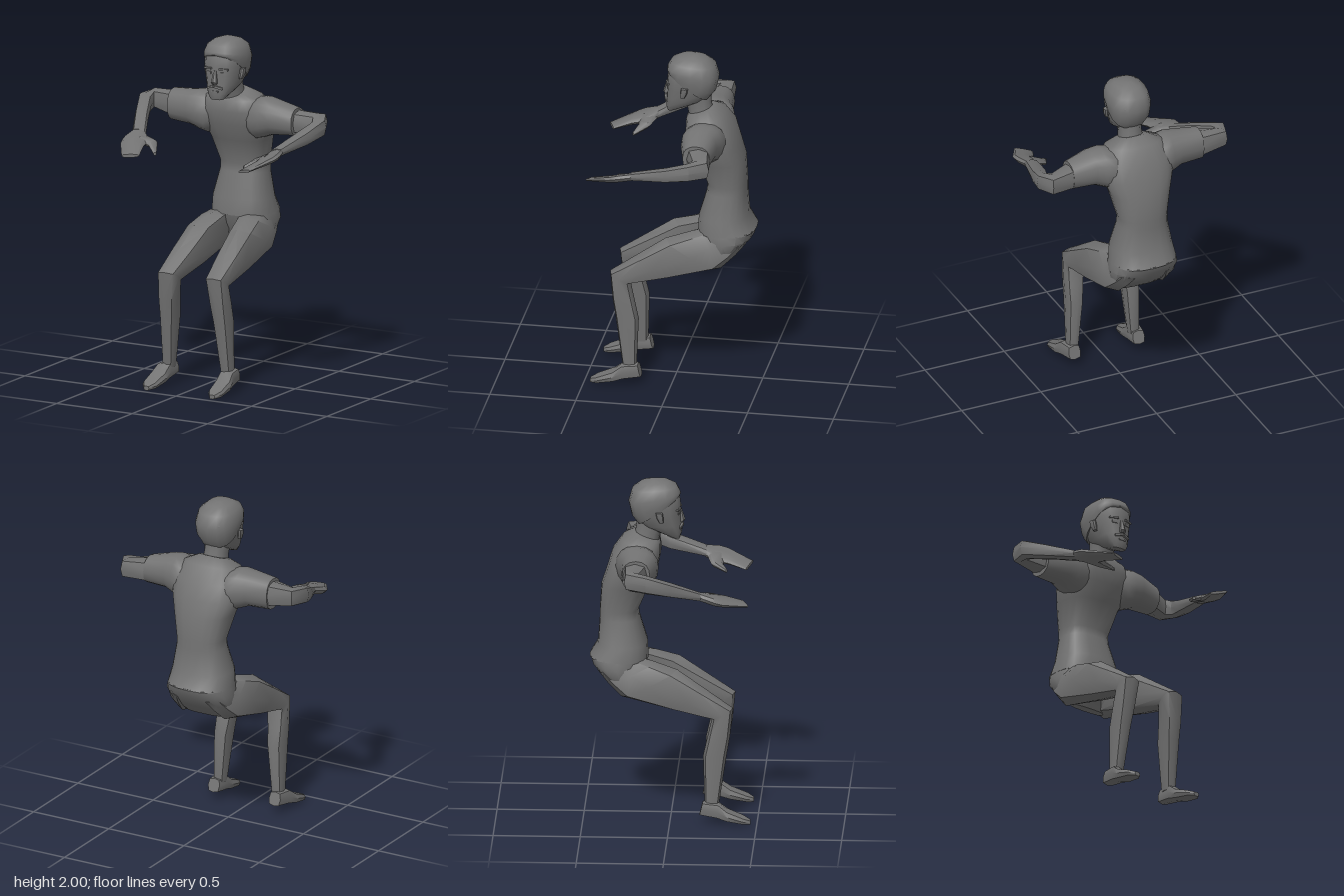
import * as THREE from 'three';
import { toCreasedNormals } from 'three/addons/utils/BufferGeometryUtils.js';

const grey = new THREE.MeshStandardMaterial({ color: 0x737373, side: THREE.DoubleSide });
const V = (x, y, z) => new THREE.Vector3(x, y, z);

// Section between edge points p and q, with half-width vector w
const sec = (p, q, w) => ({ p: V(...p), q: V(...q), w: V(...w) });
// Section spanning front (z, y) to back (z, y), x from x0 to x1
const slab = ([zf, yf, zb, yb, x0, x1]) =>
  sec([(x0 + x1) / 2, yf, zf], [(x0 + x1) / 2, yb, zb], [(x1 - x0) / 2, 0, 0]);
const centred = ([zf, yf, zb, yb, h]) => slab([zf, yf, zb, yb, -h, h]);

// Skin rounded sections; lower power = boxier. Ends are capped.
function loft(name, sections, sides = 8, power = 0.8, crease = 0.7) {
  const pos = [], idx = [];
  const bend = v => Math.abs(v) < 1e-9 ? 0 : Math.sign(v) * Math.abs(v) ** power;
  const centres = sections.map(s => s.p.clone().add(s.q).multiplyScalar(0.5));
  sections.forEach((s, i) => {
    const u = s.p.clone().sub(centres[i]);
    for (let k = 0; k < sides; k++) {
      const a = k / sides * Math.PI * 2;
      pos.push(...centres[i].clone().addScaledVector(u, bend(Math.cos(a)))
        .addScaledVector(s.w, bend(Math.sin(a))).toArray());
    }
  });
  const last = sections.length - 1, tip = sections.length * sides;
  pos.push(...centres[0].toArray(), ...centres[last].toArray());
  for (let k = 0; k < sides; k++) {
    const n = (k + 1) % sides;
    for (let i = 0; i < last; i++) {
      const a = i * sides + k, b = i * sides + n;
      idx.push(a, b, b + sides, a, b + sides, a + sides);
    }
    idx.push(tip, n, k, tip + 1, last * sides + k, last * sides + n);
  }
  // Turn all faces outward when the enclosed volume comes out negative
  const at = i => V(pos[i * 3], pos[i * 3 + 1], pos[i * 3 + 2]).sub(centres[0]);
  let volume = 0;
  for (let i = 0; i < idx.length; i += 3) {
    volume += at(idx[i]).dot(at(idx[i + 1]).cross(at(idx[i + 2])));
  }
  if (volume < 0) idx.reverse();
  const g = new THREE.BufferGeometry();
  g.setAttribute('position', new THREE.Float32BufferAttribute(pos, 3));
  g.setIndex(idx);
  const m = new THREE.Mesh(toCreasedNormals(g, crease), grey);
  m.name = name;
  return m;
}

function block(name, size, position, rotation = [0, 0, 0]) {
  const m = new THREE.Mesh(new THREE.BoxGeometry(...size), grey);
  m.name = name;
  m.position.set(...position);
  m.rotation.set(...rotation);
  return m;
}

// Arm section: outer edge and inner edge as (x, y, z), half thickness h
const flat = ([ox, oy, oz, ix, iy, iz, h]) => sec([ox, oy, oz], [ix, iy, iz], [0, h, 0]);

function createTorso() {
  const g = new THREE.Group();
  g.name = 'torso';
  g.add(loft('shirt', [
    [-0.13, 0.935, -0.468, 0.95, 0.192], [-0.135, 1.03, -0.42, 1.03, 0.18],
    [-0.18, 1.18, -0.41, 1.18, 0.147], [-0.185, 1.23, -0.41, 1.23, 0.146],
    [-0.12, 1.38, -0.40, 1.38, 0.18], [-0.075, 1.48, -0.37, 1.47, 0.215],
    [-0.06, 1.56, -0.34, 1.57, 0.215], [-0.062, 1.625, -0.28, 1.655, 0.17],
    [-0.075, 1.645, -0.215, 1.695, 0.09],
  ].map(centred), 20, 0.8, 1.1));
  g.add(loft('pelvis', [
    [-0.132, 0.945, -0.466, 0.955, 0.19], [-0.15, 0.88, -0.452, 0.91, 0.202],
    [-0.2, 0.8, -0.37, 0.82, 0.19], [-0.23, 0.74, -0.29, 0.745, 0.12],
  ].map(centred), 16, 0.8, 0.9));
  for (const s of [1, -1]) {
    // Columns: x, low y, high y, back z, front z; the root is buried in the chest
    g.add(loft(s > 0 ? 'leftSleeve' : 'rightSleeve', [
      [0.07, 1.45, 1.6, -0.29, -0.11], [0.16, 1.4, 1.645, -0.315, -0.07],
      [0.21, 1.415, 1.65, -0.3, -0.064], [0.27, 1.438, 1.64, -0.28, -0.07],
      [0.41, 1.445, s > 0 ? 1.605 : 1.63, -0.265, -0.105],
    ].map(([x, lo, hi, zb, zf]) =>
      sec([s * x, hi, (zb + zf) / 2], [s * x, lo, (zb + zf) / 2], [0, 0, (zf - zb) / 2])), 16, 0.85, 1.1));
  }
  return g;
}

function createArm(s, name, limb, palm, thumb) {
  const g = new THREE.Group();
  g.name = name;
  const put = r => flat([s * r[0], r[1], r[2], s * r[3], r[4], r[5], r[6]]);
  g.add(loft('arm', limb.map(put), 8, 0.7, 0.8));
  g.add(loft('hand', palm.map(put), 8, 0.7, 0.8));
  g.add(loft('thumb', thumb.map(put), 6, 0.7, 0.8));
  return g;
}

function createLeg(s) {
  const g = new THREE.Group();
  g.name = s > 0 ? 'leftLeg' : 'rightLeg';
  const put = ([zf, yf, zb, yb, a, b]) => slab([zf, yf, zb, yb, s * a, s * b]);
  g.add(loft('trouserLeg', [
    [-0.15, 0.95, -0.42, 0.88, 0.015, 0.185], [-0.09, 0.94, -0.36, 0.81, 0.03, 0.208],
    [0.04, 0.90, -0.28, 0.735, 0.052, 0.228], [0.2, 0.79, 0.0, 0.665, 0.07, 0.228],
    [0.36, 0.68, 0.24, 0.615, 0.095, 0.222], [0.345, 0.52, 0.215, 0.51, 0.115, 0.225],
    [0.325, 0.4, 0.19, 0.4, 0.13, 0.225], [0.28, 0.1, 0.2, 0.1, 0.16, 0.226],
  ].map(put), 8, 0.75, 0.85));
  g.add(loft('shoe', [
    [0.19, 0.13, 0.17, 0.05, 0.165, 0.24], [0.28, 0.125, 0.27, 0.035, 0.16, 0.255],
    [0.33, 0.085, 0.33, 0.02, 0.16, 0.266], [0.425, 0.045, 0.425, 0.005, 0.17, 0.264],
    [0.464, 0.026, 0.464, 0, 0.2, 0.235],
  ].map(put), 8, 0.55, 0.6));
  return g;
}

function createHead() {
  const g = new THREE.Group();
  g.name = 'head';
  g.add(loft('neck', [
    [-0.08, 1.59, -0.22, 1.64, 0.075], [-0.06, 1.68, -0.2, 1.72, 0.066],
    [-0.02, 1.76, -0.2, 1.78, 0.075],
  ].map(centred), 12, 0.9, 1));
  g.add(loft('face', [
    [0.05, 1.652, 0.0, 1.66, 0.042], [0.06, 1.685, -0.05, 1.68, 0.062],
    [0.058, 1.74, -0.16, 1.725, 0.087], [0.055, 1.8, -0.22, 1.79, 0.106],
    [0.055, 1.85, -0.235, 1.84, 0.115], [0.048, 1.91, -0.24, 1.89, 0.118],
    [0.02, 1.96, -0.21, 1.95, 0.1], [-0.04, 1.985, -0.15, 1.985, 0.05],
  ].map(centred), 12, 0.75, 0.8));
  // Hair cap slants from the forehead down to the nape
  g.add(loft('hair', [
    [0.05, 1.912, -0.19, 1.74, 0.114], [0.054, 1.917, -0.228, 1.79, 0.122],
    [0.051, 1.93, -0.246, 1.87, 0.124], [0.032, 1.965, -0.225, 1.945, 0.108],
    [-0.015, 1.99, -0.175, 1.983, 0.07], [-0.07, 2.0, -0.12, 2.0, 0.025],
  ].map(centred), 16, 0.78, 0.9));
  g.add(loft('nose', [
    [0.06, 1.825, 0.04, 1.825, 0.01], [0.08, 1.76, 0.04, 1.755, 0.02], [0.068, 1.745, 0.04, 1.745, 0.016],
  ].map(centred), 6, 0.9, 0.4));
  g.add(block('mouth', [0.045, 0.008, 0.012], [0, 1.703, 0.056]));
  for (const s of [1, -1]) {
    g.add(block('eyebrow', [0.055, 0.01, 0.016], [s * 0.05, 1.835, 0.044], [0, s * 0.3, s * -0.05]));
    g.add(block('eye', [0.036, 0.014, 0.01], [s * 0.045, 1.81, 0.045], [0, s * 0.25, 0]));
    g.add(block('moustacheHalf', [0.05, 0.013, 0.02], [s * 0.024, 1.728, 0.056], [0, s * 0.3, s * -0.25]));
    g.add(loft('ear', [
      [-0.04, 1.77, -0.065, 1.77, 0.1, 0.12], [-0.04, 1.8, -0.08, 1.8, 0.1, 0.131],
      [-0.045, 1.83, -0.085, 1.83, 0.1, 0.134],
    ].map(r => slab([...r.slice(0, 4), s * r[4], s * r[5]])), 8));
  }
  return g;
}

export function createModel() {
  const model = new THREE.Group();
  model.name = 'crouchingMan';
  model.add(createTorso(), createHead(), createLeg(1), createLeg(-1));
  // The two arms are posed a little differently
  model.add(createArm(1, 'leftArm', [
    [0.37, 1.525, -0.26, 0.37, 1.525, -0.112, 0.07], [0.55, 1.522, -0.284, 0.508, 1.515, -0.17, 0.06],
    [0.605, 1.515, -0.175, 0.52, 1.5, -0.14, 0.055], [0.577, 1.475, -0.03, 0.475, 1.46, -0.03, 0.044],
    [0.52, 1.43, 0.18, 0.435, 1.415, 0.18, 0.024],
  ], [
    [0.52, 1.43, 0.175, 0.435, 1.41, 0.175, 0.024], [0.543, 1.425, 0.25, 0.405, 1.38, 0.25, 0.024],
    [0.54, 1.415, 0.3, 0.4, 1.37, 0.31, 0.02], [0.46, 1.37, 0.45, 0.36, 1.345, 0.41, 0.009],
  ], [
    [0.45, 1.4, 0.28, 0.45, 1.41, 0.18, 0.02], [0.385, 1.37, 0.28, 0.365, 1.375, 0.212, 0.017],
    [0.34, 1.345, 0.306, 0.326, 1.345, 0.295, 0.009],
  ]));
  model.add(createArm(-1, 'rightArm', [
    [0.37, 1.538, -0.262, 0.37, 1.538, -0.108, 0.078], [0.565, 1.555, -0.246, 0.525, 1.548, -0.155, 0.057],
    [0.607, 1.545, -0.12, 0.515, 1.53, -0.11, 0.055], [0.55, 1.495, 0.02, 0.455, 1.485, 0.03, 0.043],
    [0.47, 1.435, 0.19, 0.385, 1.425, 0.18, 0.026],
  ], [
    [0.468, 1.435, 0.185, 0.385, 1.425, 0.175, 0.026], [0.487, 1.41, 0.27, 0.335, 1.41, 0.22, 0.027],
    [0.475, 1.395, 0.315, 0.32, 1.395, 0.32, 0.022], [0.385, 1.36, 0.458, 0.29, 1.365, 0.42, 0.01],
  ], [
    [0.38, 1.415, 0.28, 0.38, 1.415, 0.18, 0.022], [0.31, 1.395, 0.278, 0.29, 1.4, 0.208, 0.018],
    [0.262, 1.355, 0.306, 0.248, 1.355, 0.295, 0.009],
  ]));
  return model;
}
